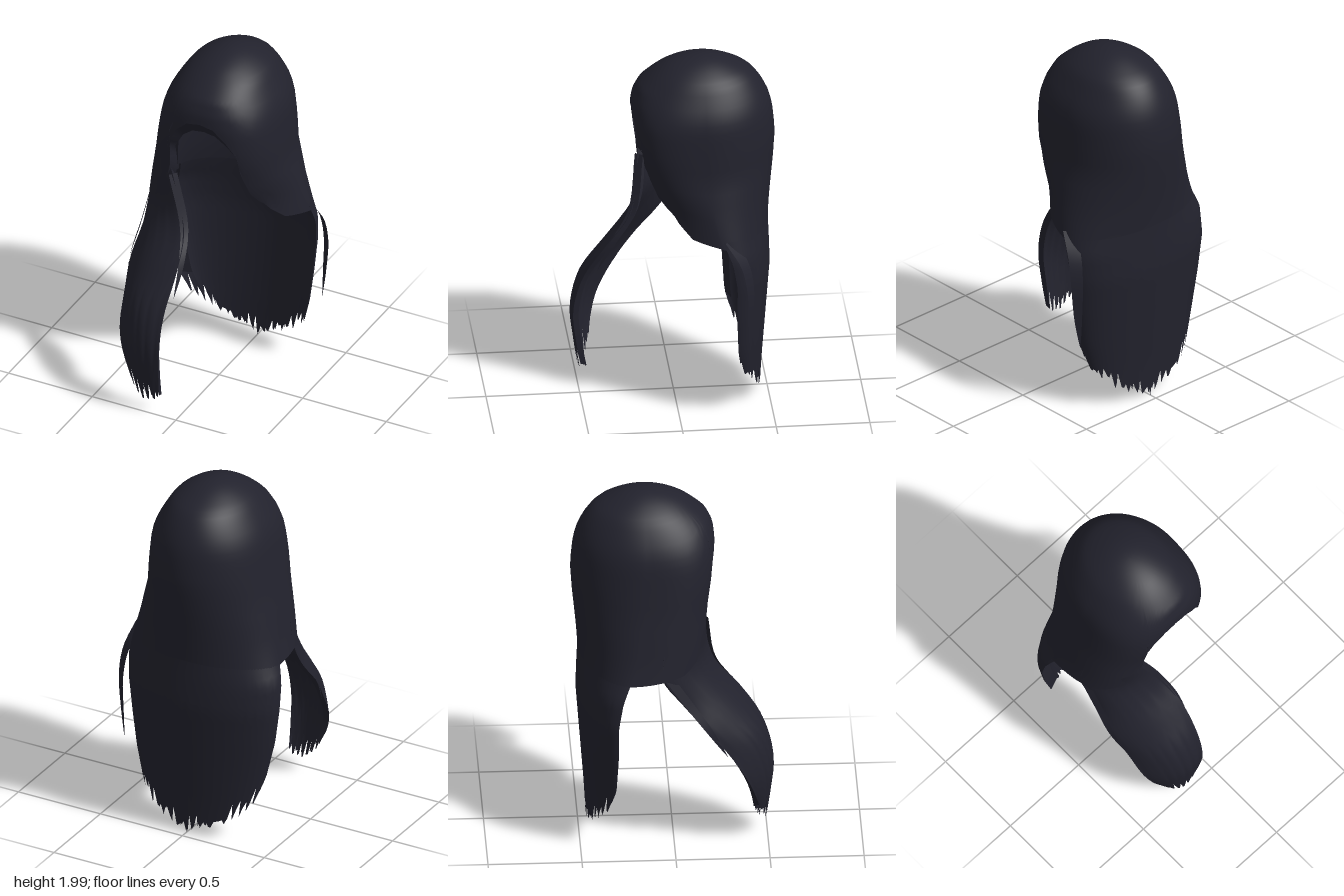
import * as THREE from 'three';
import { mergeVertices } from 'three/addons/utils/BufferGeometryUtils.js';

// Horizontal sections: y, left half-width, right half-width, centre z, front z, back z
const SECTIONS = [
  [2.0, 0, 0, -0.15, -0.15, -0.15],
  [1.96, 0.14, 0.14, -0.15, 0.03, -0.32],
  [1.91, 0.21, 0.21, -0.15, 0.11, -0.415],
  [1.84, 0.255, 0.26, -0.15, 0.19, -0.47],
  [1.77, 0.295, 0.3, -0.15, 0.22, -0.505],
  [1.7, 0.32, 0.325, -0.15, 0.228, -0.525],
  [1.55, 0.335, 0.35, -0.15, 0.225, -0.54],
  [1.4, 0.345, 0.375, -0.16, 0.2, -0.53],
  [1.2, 0.39, 0.415, -0.19, 0.19, -0.51],
  [1.07, 0.42, 0.44, -0.22, 0.18, -0.5],
  [0.95, 0.435, 0.48, -0.27, 0.17, -0.505],
  [0.8, 0.425, 0.482, -0.295, 0, -0.51],
  [0.6, 0.405, 0.455, -0.295, 0, -0.495],
  [0.4, 0.375, 0.41, -0.305, 0, -0.48],
  [0.2, 0.32, 0.35, -0.335, 0, -0.465],
  [0, 0.28, 0.3, -0.36, 0, -0.455],
];

// Squareness of the front half: y, exponent on the left, exponent on the right
const SQUARENESS = [[2, 2, 2], [1.85, 2.2, 2.2], [1.65, 2.8, 2.8], [1.45, 2.8, 3], [1.2, 1.6, 3], [0, 1.6, 3]];

// Lower edge of the hood: azimuth at the crown, azimuth at the edge, edge height (0 = front)
const HOOD_EDGE = [
  [-180, -180, 1.06], [-90, -90, 1.04], [-60, -62, 1.07], [-48, -48, 1.12],
  [-38, -36, 1.25], [-33, -32, 1.36], [-27, -37, 1.5], [-18, -26, 1.64], [-9, -14, 1.705],
  [0, 0, 1.72], [9, 14, 1.705], [18, 26, 1.64], [27, 37, 1.55], [35, 39, 1.4], [40, 41, 1.25],
  [48, 50, 1.15], [60, 60, 1.08], [90, 90, 1.04], [180, 180, 1.06],
];

// Linear lookup in a table by its first column
function lookup(table, key, warp = (k) => k) {
  const dir = Math.sign(table[table.length - 1][0] - table[0][0]);
  let i = 0;
  while (i < table.length - 2 && (key - table[i + 1][0]) * dir > 0) i++;
  const a = table[i], b = table[i + 1];
  const t = (warp(key) - warp(a[0])) / (warp(b[0]) - warp(a[0]));
  return a.map((value, k) => value + (b[k] - value) * t);
}

// Point on the hair surface at an azimuth (degrees) and height; scale < 1 moves it inwards
function surface(deg, y, scale = 1) {
  const [, wl, wr, zc, zf, zb] = lookup(SECTIONS, y, (k) => Math.sqrt(Math.max(0, 2 - k)));
  const [, nl, nr] = lookup(SQUARENESS, y);
  const s = Math.sin(deg * Math.PI / 180), c = Math.cos(deg * Math.PI / 180);
  const n = s > 0 ? nl : nr;
  const front = Math.max(0, 1 - Math.abs(s) ** n) ** (1 / n);
  return [scale * s * (s > 0 ? wl : wr), y, zc + scale * (c > 0 ? front * (zf - zc) : c * (zc - zb))];
}

// Smooth sheet from point(u, v, column), u to the right and v downwards
function sheet(nu, nv, point) {
  const positions = [], index = [];
  for (let i = 0; i <= nu; i++) {
    for (let j = 0; j <= nv; j++) {
      positions.push(...point(i / nu, j / nv, i));
      if (i < nu && j < nv) {
        const a = i * (nv + 1) + j, b = a + nv + 1;
        index.push(a, a + 1, b, b, a + 1, b + 1);
      }
    }
  }
  let geometry = new THREE.BufferGeometry();
  geometry.setAttribute('position', new THREE.Float32BufferAttribute(positions, 3));
  geometry.setIndex(index);
  geometry = mergeVertices(geometry, 1e-5);
  geometry.computeVertexNormals();
  return geometry;
}

function seeded(seed) {
  return () => (seed = (seed * 16807) % 2147483647) / 2147483647;
}

const rail = (points) => new THREE.CatmullRomCurve3(points.map((p) => new THREE.Vector3(...p)));
const mix = (a, b, t) => a.map((value, k) => value + (b[k] - value) * t);

export function createModel() {
  const group = new THREE.Group();
  const hair = new THREE.MeshStandardMaterial({ color: 0x22222d, side: THREE.DoubleSide });
  hair.name = 'dark hair';
  const random = seeded(77);

  function add(name, geometry) {
    const mesh = new THREE.Mesh(geometry, hair);
    mesh.name = name;
    group.add(mesh);
  }

  // Outer sheet and lining, joined along both sides
  function thickSheet(name, nu, nv, outside, inside) {
    add(name, sheet(nu, nv, outside));
    add(name + 'Lining', sheet(nu, nv, inside));
    for (const u of [0, 1]) {
      add(name + 'Edge', sheet(1, nv, (w, v) => mix(outside(u, v, u * nu), inside(u, v, u * nu), w)));
    }
  }

  // Hood over the head with the face opening, its lower lining and the rim between
  const hood = (u, v, scale) => {
    const [start, end, yEnd] = lookup(HOOD_EDGE, -180 + 360 * u);
    return surface(start + (end - start) * v ** 2, 2 - (2 - yEnd) * v * v, scale);
  };
  const hoodLining = (u, v) => {
    const [x, y, z] = hood(u, v, 0.87);
    return [x, y - 0.27 * Math.max(0, y - 1.45), z];
  };
  add('hood', sheet(120, 24, (u, v) => hood(u, v, 1)));
  add('hoodLining', sheet(120, 24, hoodLining));
  add('hoodRim', sheet(120, 1, (u, v) => mix(hood(u, 1, 1), hoodLining(u, 1), v)));

  // Long back hair with a jagged hem
  const backTeeth = Array.from({ length: 61 }, (_, i) => (i % 3 === 1 ? 0.04 + 0.12 * random() : 0.06 * random()));
  const hem = [[0, 0.01], [15, 0.04], [40, 0.09], [60, 0.16], [75, 0.2], [84, 0.25], [90, 0.36]];
  const backHair = (u, v, i, spread, scale) => {
    const deg = 92 + 176 * u;
    const yEnd = lookup(hem, Math.abs(deg - 180))[1] + (i === 30 ? 0 : backTeeth[i]);
    return surface(180 + (deg - 180) * spread, 1.08 + (yEnd - 1.08) * v, scale);
  };
  thickSheet('backHair', 60, 20, (u, v, i) => backHair(u, v, i, 1, 1), (u, v, i) => backHair(u, v, i, 0.88, 0.86));

  // Long lock swept forward over the right shoulder: outer, middle and inner rails
  const rails = [
    rail([[-0.41, 1.2, -0.06], [-0.43, 1.07, -0.06], [-0.42, 0.9, 0.05], [-0.435, 0.74, 0.18],
      [-0.415, 0.59, 0.29], [-0.395, 0.43, 0.385], [-0.355, 0.31, 0.43], [-0.3, 0.21, 0.455]]),
    rail([[-0.31, 1.24, 0.125], [-0.33, 1.09, 0.115], [-0.31, 0.95, 0.2], [-0.29, 0.78, 0.34],
      [-0.28, 0.62, 0.46], [-0.26, 0.43, 0.515], [-0.24, 0.27, 0.51], [-0.21, 0.08, 0.49]]),
    rail([[-0.2, 1.36, 0.17], [-0.14, 1.15, 0.185], [-0.09, 1.0, 0.23], [-0.07, 0.83, 0.36],
      [-0.08, 0.65, 0.475], [-0.09, 0.45, 0.525], [-0.1, 0.27, 0.51], [-0.11, 0.1, 0.48]]),
  ];
  const lockTeeth = Array.from({ length: 21 }, (_, i) => (i % 3 === 1 ? 0.05 + 0.08 * random() : 0.03 * random()));
  const lock = (u, v, i) => {
    const t = v * (1 - lockTeeth[i]);
    const weights = [(1 - u) * (1 - 2 * u), 4 * u * (1 - u), u * (2 * u - 1)];
    const p = new THREE.Vector3();
    rails.forEach((curve, k) => p.addScaledVector(curve.getPoint(t), weights[k]));
    return p.toArray();
  };
  thickSheet('frontLock', 20, 28, lock, (u, v, i) => {
    const [x, y, z] = lock(0.06 + 0.88 * u, v, i);
    return [x + 0.012, y - 0.01 * (1 - v), z - 0.035];
  });

  // Thin tapering wisps beside the lock and the back hair
  function wisp(name, points, across) {
    const curve = rail(points);
    add(name, sheet(2, 14, (u, v) => {
      const w = (u - 0.5) * (1 - v ** 3);
      return curve.getPoint(v).toArray().map((value, k) => value + across[k] * w);
    }));
  }
  wisp('innerWisp', [[-0.19, 1.32, 0.165], [-0.1, 1.03, 0.21], [-0.065, 0.87, 0.31], [-0.065, 0.7, 0.4]], [0.03, 0, -0.04]);
  wisp('outerWisp', [[-0.42, 1.05, -0.02], [-0.425, 0.9, 0.08], [-0.435, 0.74, 0.19], [-0.41, 0.58, 0.28]], [0.02, 0, 0.05]);
  wisp('leftSideWisp', [[0.4, 1.08, -0.26], [0.435, 0.95, -0.34], [0.448, 0.8, -0.37], [0.44, 0.6, -0.37], [0.425, 0.42, -0.37]], [0.055, 0, 0.045]);

  return group;
}
